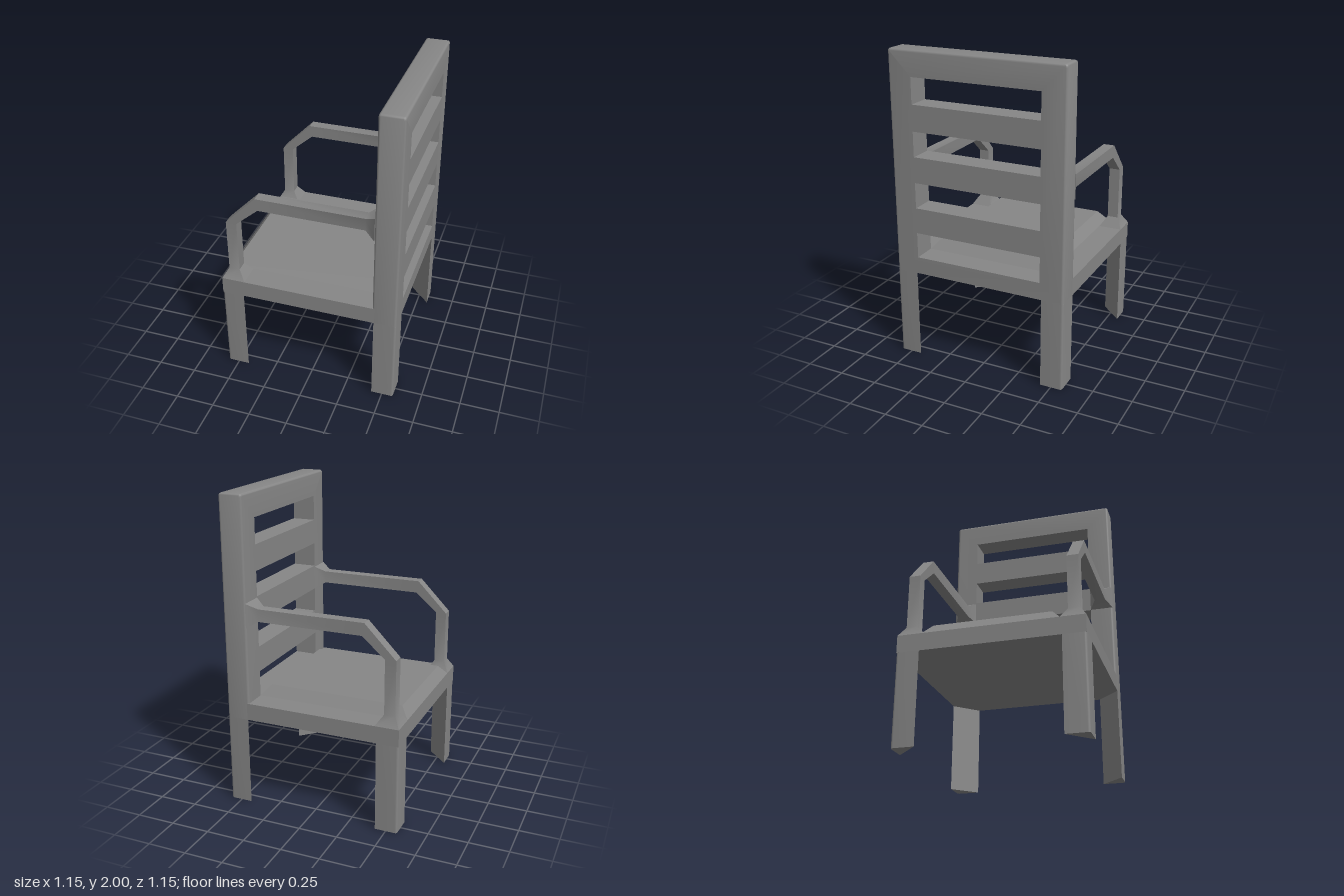
import * as THREE from 'three';
import { toCreasedNormals } from 'three/addons/utils/BufferGeometryUtils.js';

const material = new THREE.MeshStandardMaterial({ color: 0x868686 });
const OUT = 0.573;     // outer half extent of the chair
const BACK = 0.42;     // front plane of the backrest, also half width of its openings
const RAIL = 0.58;     // underside of the seat
const SEAT = 0.69;     // top of the seat frame
const ROUND = 0.015;   // edge softening

function part(name, geometry) {
  const mesh = new THREE.Mesh(toCreasedNormals(geometry, 0.6), material);
  mesh.name = name;
  return mesh;
}

// Four-sided loft; each section is [outerX, outerY, innerX, innerY, halfWidth]
function loft(sections, zc = 0) {
  const rings = sections.map(([ax, ay, bx, by, h]) => [
    [ax, ay, zc + h], [bx, by, zc + h], [bx, by, zc - h], [ax, ay, zc - h],
  ]);
  const pos = [];
  const quad = (a, b, c, d) => pos.push(...a, ...b, ...c, ...a, ...c, ...d);
  for (let s = 0; s < rings.length - 1; s++) {
    for (let i = 0; i < 4; i++) {
      const j = (i + 1) % 4;
      quad(rings[s][i], rings[s][j], rings[s + 1][j], rings[s + 1][i]);
    }
  }
  const [a, b, c, d] = rings[0];
  quad(a, d, c, b);
  quad(...rings[rings.length - 1]);
  const g = new THREE.BufferGeometry();
  g.setAttribute('position', new THREE.Float32BufferAttribute(pos, 3));
  g.computeVertexNormals();
  return g;
}

// Triangular leg with a softened outer corner and a diagonal inner face
function legGeometry(sx, sz) {
  const inner = OUT - 0.143;
  const shape = new THREE.Shape();
  shape.moveTo(sx * inner, -sz * OUT);
  shape.lineTo(sx * (OUT - ROUND), -sz * OUT);
  shape.quadraticCurveTo(sx * OUT, -sz * OUT, sx * OUT, -sz * (OUT - ROUND));
  shape.lineTo(sx * OUT, -sz * inner);
  shape.closePath();
  const g = new THREE.ExtrudeGeometry(shape, { depth: RAIL, bevelEnabled: false, curveSegments: 4 });
  return g.rotateX(-Math.PI / 2);
}

// Slatted back panel: soft outer rim, crisp openings
function backGeometry() {
  const openings = [[SEAT, 0.855], [1.02, 1.185], [1.35, 1.51], [1.675, 1.84]];
  const r = 0.02;
  const shape = new THREE.Shape();
  shape.moveTo(-OUT, RAIL);
  shape.lineTo(OUT, RAIL);
  shape.lineTo(OUT, 2 - r);
  shape.quadraticCurveTo(OUT, 2, OUT - r, 2);
  shape.lineTo(-OUT + r, 2);
  shape.quadraticCurveTo(-OUT, 2, -OUT, 2 - r);
  shape.closePath();
  for (const [y0, y1] of openings) {
    shape.holes.push(new THREE.Path([[-BACK, y0], [-BACK, y1], [BACK, y1], [BACK, y0]]
      .map(([x, y]) => new THREE.Vector2(x, y))));
  }
  const g = new THREE.ExtrudeGeometry(shape, {
    depth: OUT - BACK - 2 * ROUND, curveSegments: 4,
    bevelSize: ROUND, bevelThickness: ROUND, bevelOffset: -ROUND, bevelSegments: 4,
  });
  // Square up the openings and the underside again
  const levels = openings.flat();
  const p = g.attributes.position;
  for (let i = 0; i < p.count; i++) {
    const x = p.getX(i), y = p.getY(i);
    if (y < 0.62) p.setY(i, RAIL);
    else if (y < 1.9 && Math.abs(x) < 0.5) {
      p.setX(i, Math.sign(x) * BACK);
      p.setY(i, levels.reduce((a, b) => (Math.abs(b - y) < Math.abs(a - y) ? b : a)));
    }
  }
  g.computeVertexNormals();
  return g.rotateY(Math.PI / 2).translate(BACK + ROUND, 0, 0);
}

export function createModel() {
  const chair = new THREE.Group();
  chair.name = 'armchair';

  // Seat frame, running slightly into the back, and raised chamfered seat pad
  const frameEnd = BACK + ROUND;
  const frame = new THREE.BoxGeometry(OUT + frameEnd, SEAT - RAIL, 2 * OUT);
  frame.translate((frameEnd - OUT) / 2, (SEAT + RAIL) / 2, 0);
  chair.add(part('seatFrame', frame));
  chair.add(part('seatPad', loft([
    [-OUT, SEAT, BACK, SEAT, 0.42],
    [-0.52, 0.755, 0.362, 0.755, 0.365],
  ])));

  chair.add(part('backrest', backGeometry()));

  for (const side of [1, -1]) {
    const label = side > 0 ? 'Left' : 'Right';
    chair.add(part('frontLeg' + label, legGeometry(-1, side)));
    chair.add(part('backLeg' + label, legGeometry(1, side)));

    // Armrest: flared foot, post, sloped elbow, rail, flared joint at the back
    chair.add(part('armrest' + label, loft([
      [-OUT, SEAT, -0.42, SEAT, 0.076],
      [-0.535, 0.755, -0.465, 0.755, 0.036],
      [-0.535, 1.1, -0.465, 1.1, 0.036],
      [-0.335, 1.305, -0.32, 1.225, 0.036],
      [0.355, 1.305, 0.355, 1.225, 0.036],
      [BACK, 1.342, BACK, 1.187, 0.076],
    ], side * 0.497)));
  }
  return chair;
}
